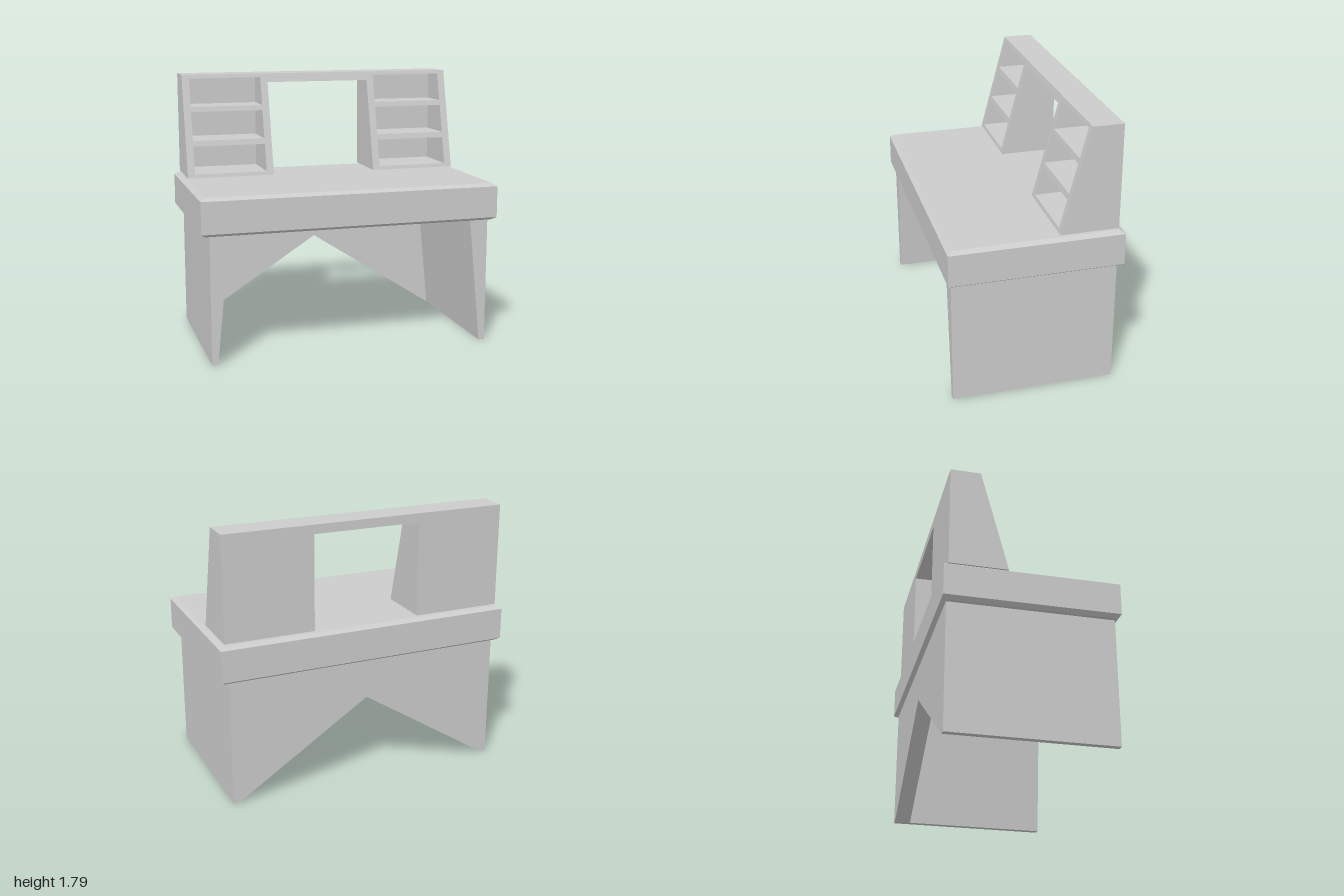
import * as THREE from 'three';

const material = new THREE.MeshStandardMaterial({ color: 0xcccccc, flatShading: true });

function add(parent, name, geometry) {
  const mesh = new THREE.Mesh(geometry, material);
  mesh.name = name;
  parent.add(mesh);
  return mesh;
}

function extrude(points, depth, options = {}) {
  const shape = new THREE.Shape(points.map(([x, y]) => new THREE.Vector2(x, y)));
  return new THREE.ExtrudeGeometry(shape, { depth, bevelEnabled: false, ...options });
}

// Hutch dimensions: the front leans back from zBottom to zTop
const HUTCH = { y0: 1.1, y1: 1.79, zBack: -0.53, zBottom: -0.148, zTop: -0.33 };
const slopeZ = (y) =>
  THREE.MathUtils.mapLinear(y, HUTCH.y0, HUTCH.y1, HUTCH.zBottom, HUTCH.zTop);

// Box whose front face follows the hutch slope
function slopedBox(x0, x1, y0, y1, zBack = HUTCH.zBack) {
  const geometry = new THREE.BoxGeometry(x1 - x0, y1 - y0, 1);
  geometry.translate((x0 + x1) / 2, (y0 + y1) / 2, 0);
  const p = geometry.attributes.position;
  for (let i = 0; i < p.count; i++) p.setZ(i, p.getZ(i) > 0 ? slopeZ(p.getY(i)) : zBack);
  geometry.computeVertexNormals();
  return geometry;
}

export function createModel() {
  const model = new THREE.Group();
  model.name = 'desk';

  // Thick bevelled worktop
  const top = extrude([[-0.97, -0.535], [0.97, -0.535], [0.97, 0.535], [-0.97, 0.535]], 0.21, {
    bevelEnabled: true, bevelSize: 0.03, bevelThickness: 0.02, bevelSegments: 1,
  });
  top.rotateX(-Math.PI / 2);
  top.translate(0, 0.86, 0);
  add(model, 'worktop', top);

  // Side legs, tapering on the inside towards the floor
  for (const [name, s] of [['leftLeg', 1], ['rightLeg', -1]]) {
    const leg = extrude([[s * 0.945, 0], [s * 0.945, 0.84], [s * 0.82, 0.84], [s * 0.905, 0]], 1.075);
    leg.translate(0, 0, -0.537);
    add(model, name, leg);
  }

  // Back panel with a peaked cut-out
  const back = extrude([[-0.905, 0], [0, 0.585], [0.905, 0], [0.82, 0.84], [-0.82, 0.84]], 0.11);
  back.translate(0, 0, -0.537);
  add(model, 'backPanel', back);

  // Hutch: two cubby columns joined by a top rail
  const hutch = new THREE.Group();
  hutch.name = 'hutch';
  model.add(hutch);
  add(hutch, 'topRail', slopedBox(-0.365, 0.365, 1.73, HUTCH.y1));

  const shelves = [[1.1, 1.125], [1.31, 1.348], [1.54, 1.575], [1.765, 1.79]];
  for (const [name, s] of [['leftCubbies', 1], ['rightCubbies', -1]]) {
    const column = new THREE.Group();
    column.name = name;
    hutch.add(column);
    const span = (a, b) => (s > 0 ? [a, b] : [-b, -a]);
    add(column, 'innerWall', slopedBox(...span(0.365, 0.415), HUTCH.y0, HUTCH.y1));
    add(column, 'outerWall', slopedBox(...span(0.915, 0.965), HUTCH.y0, HUTCH.y1));
    for (const [y0, y1] of shelves) add(column, 'shelf', slopedBox(...span(0.415, 0.915), y0, y1));
    // Closed back behind the cubbies
    const board = new THREE.BoxGeometry(0.5, HUTCH.y1 - HUTCH.y0 - 0.02, 0.03);
    board.translate(s * 0.665, (HUTCH.y0 + HUTCH.y1) / 2, HUTCH.zBack + 0.015);
    add(column, 'cubbyBack', board);
  }

  return model;
}
